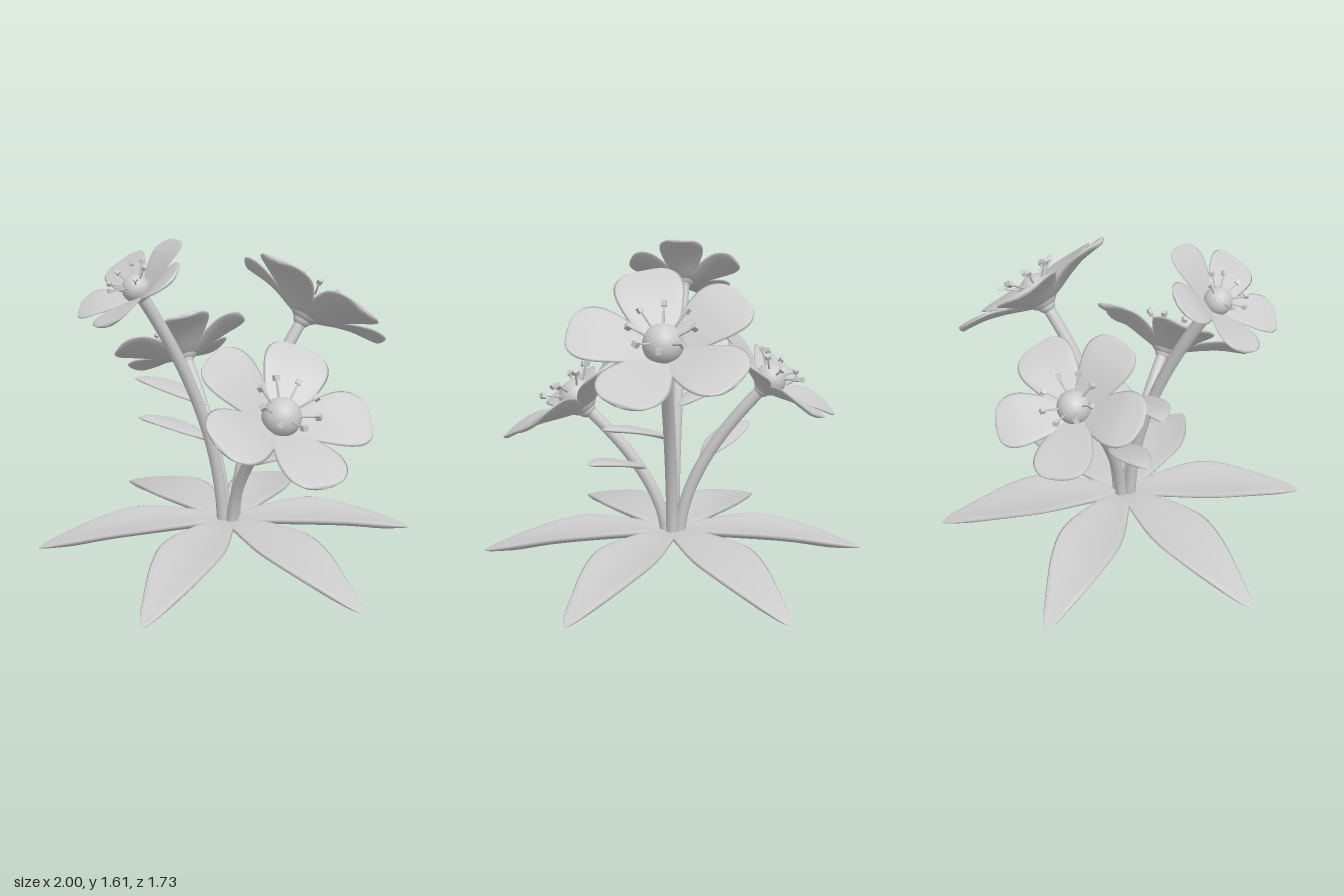
import * as THREE from 'three';

const material = new THREE.MeshStandardMaterial({ color: 0xcccccc });
const V = (x, y, z) => new THREE.Vector3(x, y, z);

function mesh(name, geometry) {
  const m = new THREE.Mesh(geometry, material);
  m.name = name;
  return m;
}

// Closed blade along +z; stations are [distance, halfWidth, height].
// cup lifts the edges in proportion to the local width.
function bladeGeometry(stations, cup, thickness, rows = 18, sides = 16) {
  const curve = new THREE.CatmullRomCurve3(stations.map(([u, w, y]) => V(w, y, u)));
  const maxWidth = Math.max(...stations.map((s) => s[1]));
  const positions = [], index = [];
  for (let i = 0; i <= rows; i++) {
    const p = curve.getPoint(i / rows);
    const w = Math.max(p.x, 0);
    const t = thickness * Math.min(1, (w / maxWidth) * 2);
    for (let j = 0; j < sides; j++) {
      const a = (j / sides) * Math.PI * 2, c = Math.cos(a);
      positions.push(w * c, p.y + cup * w * c * c + t * Math.sin(a), p.z);
      if (i === rows) continue;
      const k = i * sides + j, n = i * sides + ((j + 1) % sides);
      index.push(k, n, k + sides, n, n + sides, k + sides);
    }
  }
  const g = new THREE.BufferGeometry();
  g.setAttribute('position', new THREE.Float32BufferAttribute(positions, 3));
  g.setIndex(index);
  g.computeVertexNormals();
  return g;
}

const baseLeafGeometry = bladeGeometry([
  [0, 0, 0.105], [0.03, 0.04, 0.105], [0.2, 0.105, 0.11], [0.45, 0.165, 0.103],
  [0.62, 0.145, 0.083], [0.8, 0.09, 0.047], [0.96, 0.03, 0.014], [1, 0, 0.004],
], 0.25, 0.027, 24);

const stemLeafGeometry = bladeGeometry([
  [0, 0, 0], [0.03, 0.025, 0.004], [0.12, 0.068, 0.014], [0.22, 0.078, 0.018],
  [0.31, 0.055, 0.013], [0.37, 0.02, 0.004], [0.39, 0, 0],
], 0.03, 0.014);

const petalGeometry = bladeGeometry([
  [0.01, 0, 0.005], [0.03, 0.05, 0.01], [0.1, 0.092, 0.035], [0.2, 0.138, 0.075],
  [0.3, 0.165, 0.105], [0.37, 0.152, 0.115], [0.42, 0.1, 0.12], [0.438, 0, 0.12],
], 0.1, 0.015, 24);

// Local +y is the direction the blossom faces, local +z its downhill side.
function createFlower(spin) {
  const flower = new THREE.Group();
  flower.name = 'flower';
  for (let i = 0; i < 5; i++) {
    const petal = mesh('petal', petalGeometry);
    petal.rotation.y = -(spin + i * 72) * Math.PI / 180;
    flower.add(petal);
  }
  const heart = mesh('flowerCentre', new THREE.SphereGeometry(0.095, 24, 16));
  heart.position.y = 0.07;
  const receptacle = mesh('receptacle', new THREE.SphereGeometry(0.05, 16, 10));
  flower.add(heart, receptacle);

  // Ring of filaments tipped with small blocky anthers
  for (let i = 0; i < 8; i++) {
    const stamen = new THREE.Group();
    stamen.name = 'stamen';
    const filament = mesh('filament', new THREE.CylinderGeometry(0.005, 0.007, 0.18, 6));
    filament.position.y = 0.09;
    const anther = mesh('anther', new THREE.BoxGeometry(0.026, 0.026, 0.026));
    anther.position.y = 0.185;
    stamen.add(filament, anther);
    stamen.position.y = 0.07;
    stamen.rotation.set(0.92, i * Math.PI / 4, 0, 'YXZ');
    flower.add(stamen);
  }
  return flower;
}

export function createModel() {
  const model = new THREE.Group();
  model.name = 'floweringPlant';

  // Rosette of six ground leaves
  for (let i = 0; i < 6; i++) {
    const leaf = mesh('baseLeaf', baseLeafGeometry);
    leaf.rotation.y = Math.PI / 2 + i * Math.PI / 3;
    model.add(leaf);
  }

  // Four stems with tilted flowers: centre of blossom, size, petal spin
  const tilt = 0.64;
  const flowers = [
    [V(0.19, 0.825, 0.455), 1, 2],
    [V(-0.46, 1.395, 0.18), 0.7, 180],
    [V(0.455, 1.205, -0.2), 1, 20],
    [V(-0.195, 0.94, -0.45), 0.86, -17],
  ];
  for (const [centre, size, spin] of flowers) {
    const yaw = Math.atan2(centre.x, centre.z);
    const out = V(Math.sin(yaw), 0, Math.cos(yaw));
    const facing = out.clone().multiplyScalar(Math.sin(tilt)).setY(Math.cos(tilt));
    const foot = centre.clone().addScaledVector(facing, -0.07 * size);
    const flower = createFlower(spin);
    flower.position.copy(foot);
    flower.rotation.set(tilt, yaw, 0, 'YXZ');
    flower.scale.setScalar(size);

    const bend = out.clone().multiplyScalar(0.045).setY(foot.y * 0.52);
    const path = new THREE.QuadraticBezierCurve3(
      out.clone().multiplyScalar(0.035).setY(0.08), bend, foot.clone().addScaledVector(facing, 0.02));
    model.add(mesh('stem', new THREE.TubeGeometry(path, 24, 0.031, 10)), flower);
  }

  // One small leaf on each stem: start and tip
  const stemLeaves = [
    [V(0.07, 0.46, 0.12), V(0.46, 0.57, 0.22)],
    [V(-0.1, 0.76, 0.03), V(-0.47, 0.87, -0.14)],
    [V(0.1, 0.65, -0.04), V(0.46, 0.76, 0.13)],
    [V(-0.06, 0.51, -0.13), V(-0.46, 0.63, -0.22)],
  ];
  for (const [start, tip] of stemLeaves) {
    const d = tip.clone().sub(start);
    const leaf = mesh('stemLeaf', stemLeafGeometry);
    leaf.position.copy(start);
    leaf.rotation.set(-Math.asin(d.y / d.length()), Math.atan2(d.x, d.z), 0, 'YXZ');
    leaf.scale.setScalar(d.length() / 0.39);
    model.add(leaf);
  }
  return model;
}
